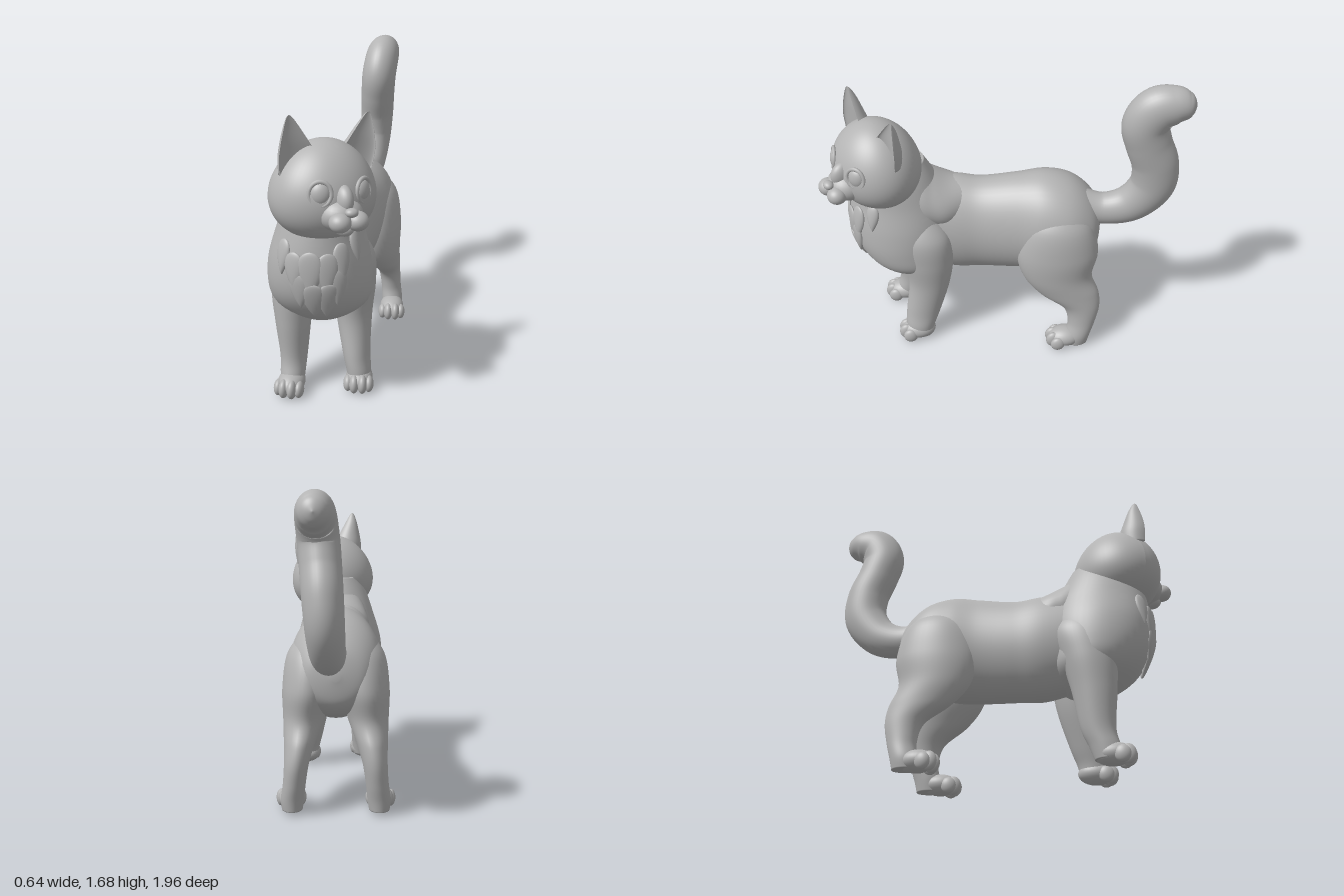
import * as THREE from 'three';

const fur = new THREE.MeshStandardMaterial({ color: 0xb4b4b4 });
fur.name = 'grey fur';

// Catmull-Rom interpolation through rows of numbers, u in 0..1
function sampleRows(rows, u) {
  const f = u * (rows.length - 1);
  const i = Math.min(Math.floor(f), rows.length - 2);
  const t = f - i;
  const at = (k) => rows[THREE.MathUtils.clamp(k, 0, rows.length - 1)];
  return rows[0].map((_, c) => {
    const a = at(i - 1)[c], b = at(i)[c], d = at(i + 1)[c], e = at(i + 2)[c];
    return b + 0.5 * t * (d - a + t * (2 * a - 5 * b + 4 * d - e + t * (3 * (b - d) + e - a)));
  });
}

// Closed smooth skin over rings; ring(row, cos, sin, u) returns a point
function skin(rows, ring, steps = 48, sides = 40) {
  const pos = [], idx = [];
  for (let i = 0; i <= steps; i++) {
    const row = sampleRows(rows, i / steps);
    for (let j = 0; j < sides; j++) {
      const a = (j / sides) * Math.PI * 2;
      pos.push(...ring(row, Math.cos(a), Math.sin(a), i / steps));
    }
  }
  for (let i = 0; i < steps; i++) {
    for (let j = 0; j < sides; j++) {
      const a = i * sides + j, b = i * sides + ((j + 1) % sides);
      idx.push(a, b, a + sides, b, b + sides, a + sides);
    }
  }
  // end caps
  for (const [start, flip] of [[0, true], [steps * sides, false]]) {
    const c = [0, 0, 0];
    for (let j = 0; j < sides; j++) for (let k = 0; k < 3; k++) c[k] += pos[(start + j) * 3 + k] / sides;
    const centre = pos.length / 3;
    pos.push(...c);
    for (let j = 0; j < sides; j++) {
      const a = start + j, b = start + ((j + 1) % sides);
      if (flip) idx.push(centre, b, a); else idx.push(centre, a, b);
    }
  }
  // turn the faces outwards
  const p = (k) => new THREE.Vector3().fromArray(pos, k * 3);
  let volume = 0;
  for (let k = 0; k < idx.length; k += 3) volume += p(idx[k]).dot(p(idx[k + 1]).cross(p(idx[k + 2])));
  if (volume < 0) idx.reverse();
  const g = new THREE.BufferGeometry();
  g.setAttribute('position', new THREE.Float32BufferAttribute(pos, 3));
  g.setIndex(idx);
  g.computeVertexNormals();
  return g;
}

const size = (r) => Math.max(r, 0.001);
// rows [y, cx, cz, rx, rz]
const upright = ([y, cx, cz, rx, rz], c, s) => [cx + size(rx) * c, y, cz + size(rz) * s];
// rows [z, cx, bottom, top, rx]
const lengthwise = ([z, cx, b, t, rx], c, s) =>
  [cx + size(rx) * c, (b + t) / 2 + (size(t - b) / 2) * s, z];

function add(parent, name, geometry) {
  const m = new THREE.Mesh(geometry, fur);
  m.name = name;
  parent.add(m);
  return m;
}

function blob(parent, name, p, r) {
  const m = add(parent, name, new THREE.SphereGeometry(1, 28, 20));
  m.position.set(...p);
  m.scale.set(...r);
  return m;
}

const chestRows = [
  [1.17, 0, 0.56, 0.13, 0.15], [1.08, 0, 0.575, 0.18, 0.215], [0.95, -0.01, 0.56, 0.215, 0.265],
  [0.8, -0.015, 0.55, 0.255, 0.29], [0.66, -0.015, 0.54, 0.267, 0.28], [0.55, -0.015, 0.51, 0.25, 0.245],
  [0.47, -0.015, 0.49, 0.17, 0.17], [0.42, -0.015, 0.485, 0.07, 0.08], [0.41, -0.015, 0.485, 0.01, 0.01],
];

// Front surface of the chest
function chestZ(x, y) {
  let best = chestRows[0];
  for (let i = 0; i <= 300; i++) {
    const row = sampleRows(chestRows, i / 300);
    if (Math.abs(row[0] - y) < Math.abs(best[0] - y)) best = row;
  }
  const k = (x - best[1]) / best[3];
  return best[2] + best[4] * Math.sqrt(Math.max(0.02, 1 - k * k));
}

function tuftGeometry() {
  const g = new THREE.SphereGeometry(1, 20, 20);
  const p = g.attributes.position;
  for (let i = 0; i < p.count; i++) {
    const y = p.getY(i);
    p.setX(i, p.getX(i) * Math.sqrt(Math.max(0, 1 + y)) * 0.85);
  }
  g.computeVertexNormals();
  return g;
}

function addPaw(parent, name, x, z, yaw) {
  const paw = new THREE.Group();
  paw.name = name;
  paw.position.set(x, 0, z);
  paw.rotation.y = yaw;
  blob(paw, 'pad', [0, 0.06, -0.01], [0.072, 0.06, 0.1]);
  for (const s of [-1, 1]) {
    blob(paw, 'innerToe', [s * 0.022, 0.052, 0.062], [0.026, 0.052, 0.044]);
    blob(paw, 'outerToe', [s * 0.056, 0.045, 0.04], [0.025, 0.045, 0.042]);
  }
  parent.add(paw);
}

function createHead() {
  const head = new THREE.Group();
  head.name = 'head';
  head.position.set(0.03, 1.175, 0.665);
  head.rotation.set(0, 0.68, -0.07, 'YXZ');

  // skull, wider at the cheeks
  const g = new THREE.SphereGeometry(1, 56, 40);
  const p = g.attributes.position;
  for (let i = 0; i < p.count; i++) {
    const x = p.getX(i), y = p.getY(i), z = p.getZ(i);
    const w = 1 - 0.13 * y;
    p.setXYZ(i, x * 0.265 * w, y * 0.245, z * w * (z > 0 ? 0.225 : 0.24));
  }
  g.computeVertexNormals();
  add(head, 'skull', g);

  // muzzle
  blob(head, 'muzzle', [0, -0.07, 0.18], [0.11, 0.085, 0.105]);
  blob(head, 'noseBridge', [0, 0.0, 0.2], [0.045, 0.075, 0.07]);
  blob(head, 'chin', [0, -0.128, 0.232], [0.045, 0.035, 0.045]);
  blob(head, 'nose', [0, -0.032, 0.29], [0.032, 0.022, 0.027]);

  for (const s of [-1, 1]) {
    blob(head, 'whiskerPad', [s * 0.046, -0.082, 0.27], [0.053, 0.047, 0.052]);
    // eye with lid rim
    const eye = new THREE.Group();
    eye.name = 'eye';
    eye.position.set(s * 0.113, 0.035, 0.188);
    eye.rotation.set(-0.1, s * 0.45, 0, 'YXZ');
    blob(eye, 'eyeball', [0, 0, -0.01], [0.048, 0.054, 0.03]);
    const rim = add(eye, 'eyelid', new THREE.TorusGeometry(0.052, 0.01, 10, 36));
    rim.scale.y = 1.1;
    head.add(eye);

    // ear with a hollow front; rows [cx, y, cz, half width, depth]
    const earRows = [
      [0.14, 0.09, 0.0, 0.105, 0.075], [0.155, 0.17, 0.005, 0.098, 0.075], [0.175, 0.24, 0.005, 0.072, 0.06],
      [0.193, 0.31, 0.0, 0.04, 0.038], [0.204, 0.355, -0.005, 0.016, 0.015], [0.207, 0.368, -0.008, 0.002, 0.002],
    ];
    const ear = skin(earRows, ([cx, y, cz, w, d], c, n) =>
      [s * (cx + w * c), y, cz + 0.03 + d * (n < 0 ? 1.2 * n : -0.35 * n)], 28, 40);
    add(head, 'ear', ear);
  }
  return head;
}

export function createModel() {
  const cat = new THREE.Group();
  cat.name = 'cat';

  add(cat, 'torso', skin([
    [0.55, -0.02, 0.5, 1.02, 0.17], [0.27, -0.035, 0.42, 1.025, 0.2], [0.1, -0.03, 0.425, 1.012, 0.198],
    [-0.1, -0.01, 0.44, 1.05, 0.212], [-0.25, 0, 0.46, 1.075, 0.24], [-0.38, 0, 0.5, 1.05, 0.24],
    [-0.48, 0, 0.54, 0.985, 0.205], [-0.55, 0, 0.61, 0.89, 0.14], [-0.575, 0, 0.73, 0.77, 0.02],
  ], lengthwise, 64, 48));
  add(cat, 'chest', skin(chestRows, upright, 56, 48));
  // slope from the nape to the back
  add(cat, 'nape', skin([
    [0.62, 0, 0.75, 1.17, 0.14], [0.45, 0, 0.75, 1.13, 0.17], [0.36, -0.01, 0.75, 1.075, 0.18],
    [0.27, -0.02, 0.75, 1.03, 0.17], [0.15, -0.03, 0.78, 1.0, 0.1],
  ], lengthwise, 32, 40));

  // chest fur: x, y, half length, half width
  const tufts = [
    [-0.14, 0.86, 0.09, 0.045], [-0.08, 0.8, 0.1, 0.055], [0, 0.79, 0.12, 0.065], [0.08, 0.79, 0.11, 0.06],
    [0.14, 0.84, 0.1, 0.05], [0.19, 0.9, 0.08, 0.04], [-0.055, 0.7, 0.1, 0.055], [0.01, 0.645, 0.11, 0.06],
    [0.075, 0.645, 0.11, 0.055], [0.125, 0.72, 0.1, 0.05],
  ];
  const leaf = tuftGeometry();
  for (const [x, y, len, w] of tufts) {
    const z = chestZ(x, y), e = 0.02;
    const n = new THREE.Vector3(
      (chestZ(x - e, y) - chestZ(x + e, y)) / (2 * e), (chestZ(x, y - e) - chestZ(x, y + e)) / (2 * e), 1);
    const tuft = add(cat, 'chestTuft', leaf);
    tuft.position.set(x, y, z - 0.004);
    tuft.lookAt(n.normalize().add(tuft.position));
    tuft.scale.set(w, len, 0.02);
  }

  // front legs, the right one a step ahead
  add(cat, 'leftFrontLeg', skin([
    [0.86, 0.12, 0.43, 0.06, 0.08], [0.74, 0.135, 0.42, 0.11, 0.15], [0.58, 0.135, 0.405, 0.115, 0.145],
    [0.4, 0.138, 0.405, 0.095, 0.118], [0.2, 0.158, 0.447, 0.073, 0.1], [0.1, 0.175, 0.468, 0.066, 0.085],
    [0.03, 0.178, 0.47, 0.06, 0.075],
  ], upright));
  add(cat, 'rightFrontLeg', skin([
    [0.86, -0.14, 0.46, 0.06, 0.08], [0.74, -0.165, 0.47, 0.105, 0.15], [0.58, -0.17, 0.5, 0.112, 0.145],
    [0.4, -0.168, 0.52, 0.095, 0.118], [0.2, -0.165, 0.53, 0.073, 0.09], [0.1, -0.165, 0.56, 0.066, 0.08],
    [0.03, -0.165, 0.58, 0.06, 0.075],
  ], upright));
  addPaw(cat, 'leftFrontPaw', 0.18, 0.492, 0.1);
  addPaw(cat, 'rightFrontPaw', -0.165, 0.61, -0.05);

  // hind legs
  for (const s of [1, -1]) {
    const side = s > 0 ? 'left' : 'right';
    add(cat, side + 'HindLeg', skin([
      [0.96, 0.1, -0.33, 0.06, 0.08], [0.84, 0.13, -0.33, 0.125, 0.185], [0.66, 0.15, -0.33, 0.135, 0.23],
      [0.5, 0.17, -0.335, 0.112, 0.198], [0.38, 0.19, -0.405, 0.085, 0.172], [0.28, 0.205, -0.48, 0.066, 0.108],
      [0.17, 0.217, -0.488, 0.06, 0.08], [0.08, 0.228, -0.468, 0.062, 0.075], [0.02, 0.23, -0.46, 0.055, 0.07],
    ].map(([y, x, ...rest]) => [y, s * x, ...rest]), upright, 56));
    addPaw(cat, side + 'HindPaw', s * 0.236, -0.385, s * 0.12);
  }

  // tail: x, y, z, half width, half height
  const tailRows = [
    [0.02, 0.9, -0.44, 0.085, 0.09], [0.03, 0.865, -0.58, 0.082, 0.093], [0.04, 0.91, -0.73, 0.09, 0.11],
    [0.05, 1.04, -0.832, 0.096, 0.125], [0.06, 1.19, -0.835, 0.1, 0.125], [0.07, 1.33, -0.785, 0.102, 0.123],
    [0.08, 1.45, -0.757, 0.103, 0.125], [0.09, 1.545, -0.805, 0.1, 0.122], [0.095, 1.575, -0.89, 0.09, 0.104],
    [0.1, 1.577, -0.955, 0.068, 0.075], [0.1, 1.577, -0.985, 0.04, 0.045], [0.1, 1.577, -1.0, 0.003, 0.003],
  ];
  add(cat, 'tail', skin(tailRows, ([x, y, z, rx, ry], c, n, u) => {
    const a = sampleRows(tailRows, Math.max(0, u - 0.01)), b = sampleRows(tailRows, Math.min(1, u + 0.01));
    const l = Math.hypot(b[1] - a[1], b[2] - a[2]);
    return [x + size(rx) * c, y + size(ry) * n * ((a[2] - b[2]) / l), z + size(ry) * n * ((b[1] - a[1]) / l)];
  }, 88, 36));

  cat.add(createHead());
  return cat;
}
